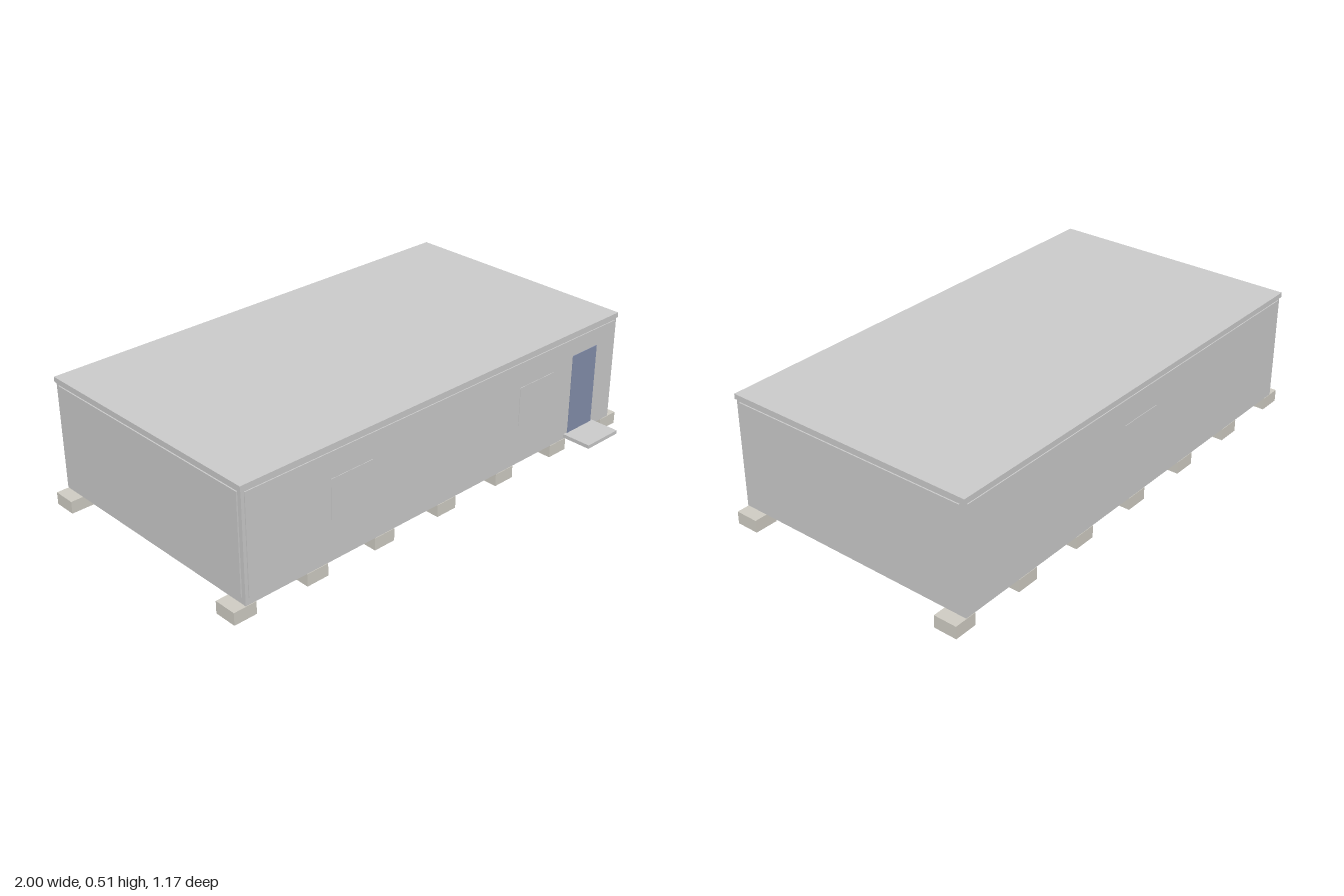
import * as THREE from 'three';

export function createModel() {
  const model = new THREE.Group();
  const mat = (color) => new THREE.MeshStandardMaterial({ color });
  const grey = mat(0xcccccc), concrete = mat(0xd0cdc4), wood = mat(0xc8bfaa), blue = mat(0x848fac);

  // Box given by its lower and upper corners
  const box = (name, [x0, y0, z0], [x1, y1, z1], material = grey) => {
    const mesh = new THREE.Mesh(new THREE.BoxGeometry(x1 - x0, y1 - y0, z1 - z0), material);
    mesh.position.set((x0 + x1) / 2, (y0 + y1) / 2, (z0 + z1) / 2);
    mesh.name = name;
    model.add(mesh);
    return mesh;
  };

  const back = -0.577, front = 0.457, side = 0.95;

  // Cabin core, with the rim of the floor frame and corner posts
  box('cabinFrame', [-side, 0.052, back], [side, 0.495, front]);

  // Floor underside in two halves
  for (const s of [-1, 1]) {
    const a = s * 0.001, b = s * 0.943;
    box('floorPanel', [Math.min(a, b), 0.05, back + 0.007], [Math.max(a, b), 0.056, front - 0.007], wood);
  }

  // Flat roof with a slightly projecting rim
  box('roof', [-0.955, 0.49, -0.583], [0.955, 0.51, 0.461]);

  // Raised wall panels
  box('frontWall', [-0.937, 0.08, front - 0.01], [0.937, 0.482, 0.461]);
  box('backWall', [-0.937, 0.08, -0.581], [0.937, 0.482, back + 0.01]);
  box('leftWall', [side - 0.01, 0.08, -0.56], [0.955, 0.482, 0.44]);
  box('rightWall', [-0.955, 0.08, -0.56], [-side + 0.01, 0.482, 0.44]);

  // Windows, barely proud of the walls
  for (const x of [-0.575, 0.38]) {
    box('frontWindow', [x, 0.22, 0.455], [x + 0.193, 0.38, 0.463]);
  }
  box('backWindow', [-0.09, 0.22, -0.583], [0.1, 0.38, -0.575]);

  // Door and entrance step
  box('door', [0.685, 0.075, 0.455], [0.83, 0.41, 0.463], blue);
  box('entranceStep', [0.668, 0.058, 0.455], [0.845, 0.073, 0.583]);

  // Two rows of seven foundation blocks
  for (let i = 0; i < 7; i++) {
    const x = -0.9525 + i * 0.3175;
    for (const z of [0.41, -0.53]) {
      box('foundationBlock', [x - 0.0475, 0, z - 0.047], [x + 0.0475, 0.05, z + 0.047], concrete);
    }
  }
  return model;
}
